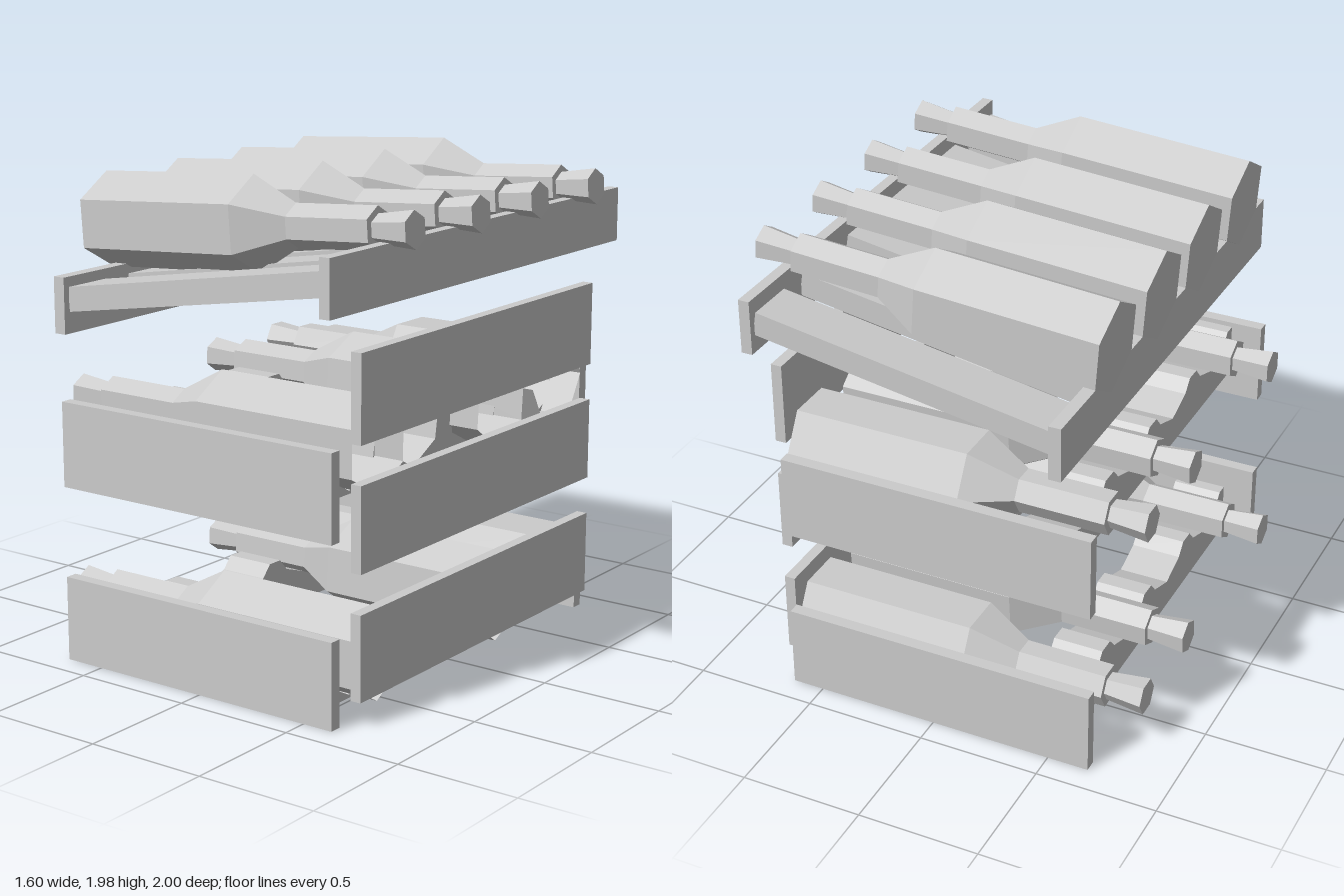
import * as THREE from 'three';

const material = new THREE.MeshStandardMaterial({
  color: 0xcccccc, flatShading: true, side: THREE.DoubleSide,
});
const SLOTS = [0.62, 0.2, -0.22, -0.645]; // bottle positions along z

function add(parent, name, geometry, x = 0, y = 0, z = 0) {
  const mesh = new THREE.Mesh(geometry, material);
  mesh.name = name;
  mesh.position.set(x, y, z);
  parent.add(mesh);
  return mesh;
}

// Box given by its limits
function board(parent, name, [x0, x1], [y0, y1], [z0, z1]) {
  return add(parent, name, new THREE.BoxGeometry(x1 - x0, y1 - y0, z1 - z0),
    (x0 + x1) / 2, (y0 + y1) / 2, (z0 + z1) / 2);
}

// Six-sided bottle lying along +x from its base, one corner pointing up
function bottleGeometry(closedBase) {
  const profile = [
    [0.1875, 0], [0.1875, 0.73], [0.084, 0.92], [0.084, 1.288],
    [0.055, 1.288], [0.072, 1.445], [0, 1.445],
  ];
  if (closedBase) profile.unshift([0, 0]);
  return new THREE.LatheGeometry(profile.map(p => new THREE.Vector2(...p)), 6)
    .rotateY(Math.PI / 6)
    .rotateZ(-Math.PI / 2);
}

// Cross board whose top edge has one scoop per bottle; heights run from 0
function cradleGeometry(scoop, depth) {
  const height = 0.215, half = 0.845;
  const shape = new THREE.Shape();
  shape.moveTo(-half, 0);
  shape.lineTo(-half, height);
  for (const z of SLOTS) {
    for (const [dx, y] of scoop) shape.lineTo(dx - z, y);
  }
  shape.lineTo(half, height);
  shape.lineTo(half, 0);
  return new THREE.ExtrudeGeometry(shape, { depth, bevelEnabled: false })
    .rotateY(Math.PI / 2);
}

export function createModel() {
  const model = new THREE.Group();
  model.name = 'bottleRack';

  // Long boards across the +x face
  for (const y of [[0.1, 0.44], [0.595, 0.93], [1.08, 1.42]]) {
    board(model, 'faceBoard', [0.655, 0.7], y, [-0.81, 0.81]);
  }

  // Lower shelves: side panels, two cradles, three bottles, one slot empty
  const bodyScoop = [[-0.17, 0.215], [-0.15, 0.09], [0, 0.012], [0.15, 0.09], [0.17, 0.215]];
  const neckScoop = [[-0.175, 0.215], [-0.13, 0.165], [0, 0.12], [0.13, 0.165], [0.175, 0.215]];
  const bodyCradle = cradleGeometry(bodyScoop, 0.2);
  const neckCradle = cradleGeometry(neckScoop, 0.21);
  const openBottle = bottleGeometry(false);
  const rolls = { 0: 0, 2: 0.08, 3: Math.PI / 6 };
  for (const [panelY, cradleY] of [[0, 0.02], [0.715, 0.825]]) {
    const shelf = new THREE.Group();
    shelf.name = 'shelf';
    model.add(shelf);
    for (const s of [-1, 1]) {
      add(shelf, 'sidePanel', new THREE.BoxGeometry(1.3, 0.345, 0.05),
        -0.02, panelY + 0.1725, s * 0.87);
    }
    add(shelf, 'bodyCradle', bodyCradle, 0.31, cradleY, 0);
    add(shelf, 'neckCradle', neckCradle, -0.54, cradleY, 0);
    for (const [slot, roll] of Object.entries(rolls)) {
      const bottle = add(shelf, 'bottle', openBottle, 0.64, cradleY + 0.205, SLOTS[slot]);
      bottle.rotation.set(roll, Math.PI, 0, 'YXZ');
    }
  }

  // Sloping display tray
  const tray = new THREE.Group();
  tray.name = 'displayTray';
  model.add(tray);
  board(tray, 'highRail', [0.655, 0.7], [1.57, 1.79], [-1, 1]);
  board(tray, 'lowRail', [-0.595, -0.545], [1.36, 1.58], [-1, 1]);
  for (const s of [-1, 1]) {
    for (const z of [0.18, 0.53, 0.87]) {
      const slat = add(tray, 'slat', new THREE.BoxGeometry(1.22, 0.095, 0.205), 0.053, 1.59, s * z);
      slat.rotation.z = Math.atan2(0.196, 1.2);
    }
  }

  // Display bottles, necks raised toward +x
  const closedBottle = bottleGeometry(true);
  for (const z of [0.615, 0.185, -0.23, -0.655]) {
    const bottle = add(tray, 'displayBottle', closedBottle, -0.648, 1.745, z);
    bottle.rotation.z = 0.069;
  }
  return model;
}
